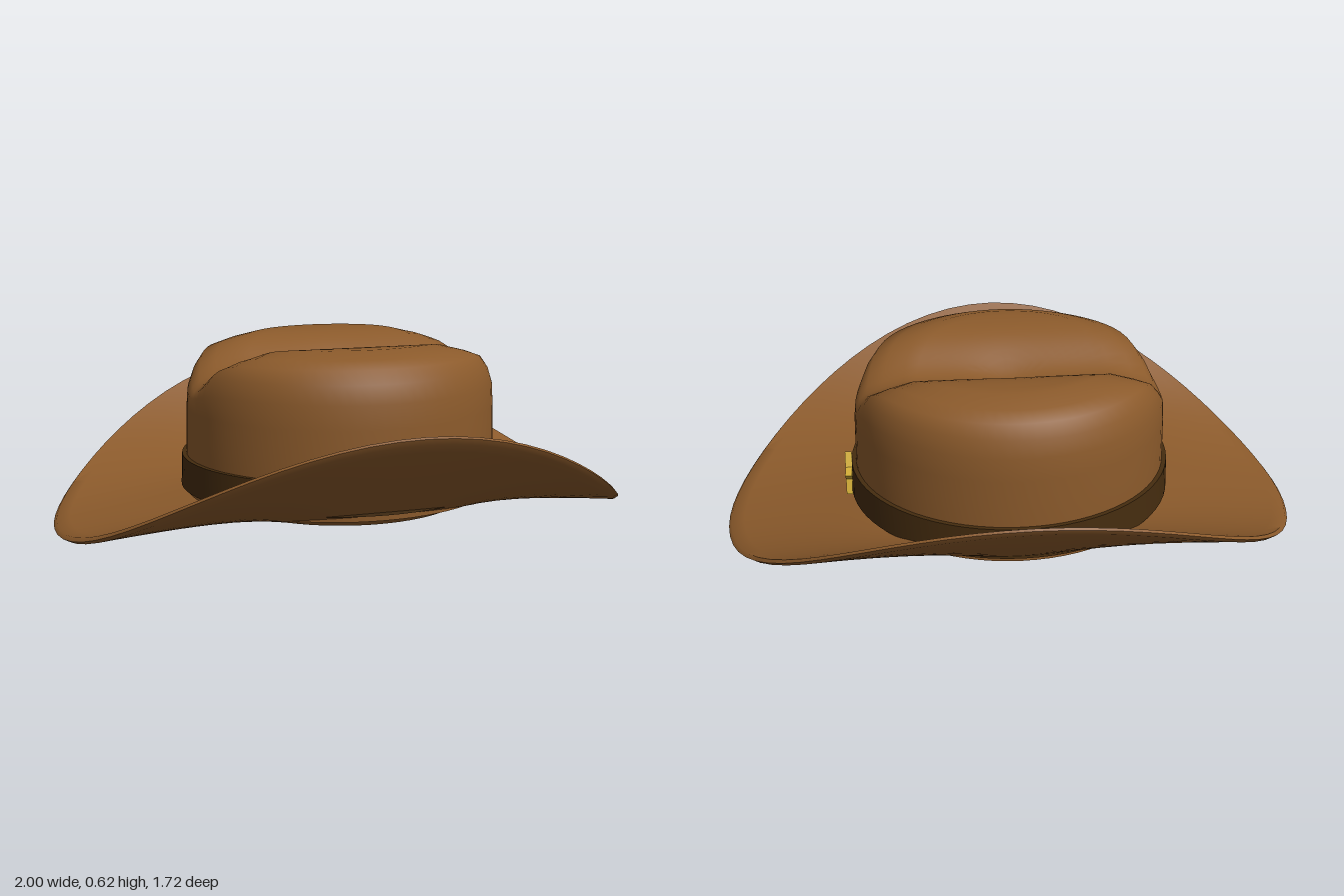
import * as THREE from 'three';
import { toCreasedNormals } from 'three/addons/utils/BufferGeometryUtils.js';

const SEGMENTS = 72;

// Lathe a profile of [radius, height] pairs, bend each vertex by a rule, then smooth it.
function bentLathe(profile, bend, crease) {
  const geo = new THREE.LatheGeometry(profile.map(([r, y]) => new THREE.Vector2(r, y)), SEGMENTS);
  const pos = geo.attributes.position;
  const v = new THREE.Vector3();
  for (let i = 0; i < pos.count; i++) {
    v.fromBufferAttribute(pos, i);
    bend(v);
    pos.setXYZ(i, v.x, v.y, v.z);
  }
  return toCreasedNormals(geo, crease);
}

const OVAL = 1.065; // crown and band are slightly wider across x

// Brim: a thin ring that droops at the sides and curls up at front and back
function brimGeometry() {
  const inner = 0.44, steps = 12, profile = [];
  for (let i = 0; i <= steps; i++) profile.push([inner + (0.985 - inner) * i / steps, 0]);
  profile.push([1, 0.01]);
  for (let i = steps; i >= 0; i--) profile.push([inner + (0.99 - inner) * i / steps, 0.022 + 0.013 * (1 - i / steps)]);
  profile.push([inner, 0]);
  return bentLathe(profile, (v) => {
    const r = Math.hypot(v.x, v.z);
    const t = (r - inner) / (1 - inner);
    const lift = Math.pow(Math.abs(v.z / r), 2.3);
    v.y += 0.065 - 0.065 * t + 0.425 * t * lift;
    v.z *= 1 - 0.14 * t;
  }, 0.9);
}

// Crown: rounded drum with a valley pressed across the top from side to side
function crownGeometry() {
  const profile = [
    [0, 0.095], [0.505, 0.095], [0.508, 0.2], [0.506, 0.3], [0.504, 0.39], [0.5, 0.47],
    [0.485, 0.53], [0.46, 0.575], [0.41, 0.597], [0.34, 0.62],
  ];
  for (let r = 0.3; r > 0.01; r -= 0.03) profile.push([r, 0.62]);
  profile.push([0, 0.62]);
  return bentLathe(profile, (v) => {
    const r = Math.hypot(v.x, v.z);
    const press = THREE.MathUtils.smoothstep(v.y, 0.38, 0.6);
    v.y -= press * (0.105 * Math.exp(-((v.z / 0.14) ** 2)) + 0.015 * Math.exp(-((r / 0.1) ** 2)));
    v.x *= OVAL;
  }, 1.0);
}

// Band: a snug strip around the foot of the crown
function bandGeometry() {
  const profile = [[0.49, 0.118], [0.526, 0.118], [0.522, 0.226], [0.49, 0.226], [0.49, 0.118]];
  return bentLathe(profile, (v) => { v.x *= OVAL; }, 0.6);
}

// Star: five points, lying in the yz plane and facing +x
function starGeometry() {
  const shape = new THREE.Shape();
  for (let i = 0; i < 10; i++) {
    const r = i % 2 ? 0.036 : 0.08;
    const a = Math.PI / 2 + i * Math.PI / 5;
    shape[i ? 'lineTo' : 'moveTo'](r * Math.cos(a), r * Math.sin(a));
  }
  shape.closePath();
  const geo = new THREE.ExtrudeGeometry(shape, { depth: 0.024, bevelEnabled: false });
  return geo.rotateY(Math.PI / 2).translate(0.555, 0.17, 0);
}

export function createModel() {
  const material = (name, color) => {
    const m = new THREE.MeshStandardMaterial({ color });
    m.name = name;
    return m;
  };
  const felt = material('brownFelt', 0x8b5a2b);
  const leather = material('darkLeather', 0x452c0f);
  const gold = material('gold', 0xd4af37);

  const hat = new THREE.Group();
  hat.name = 'hat';
  const add = (name, geo, mat) => {
    const mesh = new THREE.Mesh(geo, mat);
    mesh.name = name;
    hat.add(mesh);
  };
  add('brim', brimGeometry(), felt);
  add('crown', crownGeometry(), felt);
  add('band', bandGeometry(), leather);
  add('starBadge', starGeometry(), gold);
  return hat;
}
